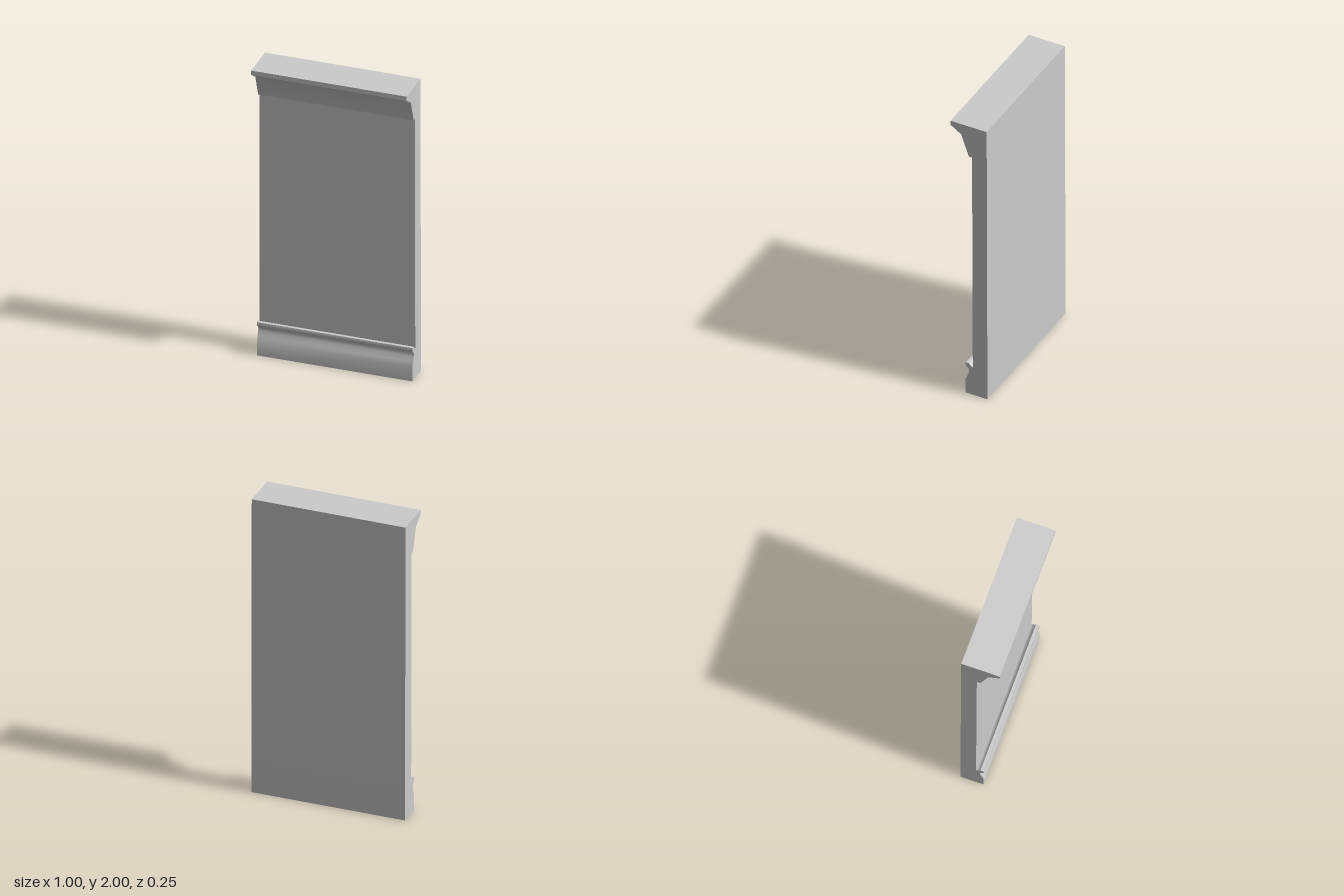
import * as THREE from 'three';
import { toCreasedNormals } from 'three/addons/utils/BufferGeometryUtils.js';

const WIDTH = 1;
const material = new THREE.MeshStandardMaterial({ color: 0xcccccc });

// Sweeps a [z, y] side profile across the full width.
function molding(name, profile) {
  const shape = new THREE.Shape(profile.map(([z, y]) => new THREE.Vector2(z, y)));
  const geometry = new THREE.ExtrudeGeometry(shape, { depth: WIDTH, bevelEnabled: false });
  geometry.translate(0, 0, -WIDTH / 2).rotateY(-Math.PI / 2);
  const mesh = new THREE.Mesh(toCreasedNormals(geometry, 0.8), material);
  mesh.name = name;
  return mesh;
}

export function createModel() {
  const group = new THREE.Group();
  group.name = 'wallSection';

  // Skirting with a curved shoulder and a small bead on top
  group.add(molding('skirting', [
    [-0.125, 0], [0.024, 0], [0.024, 0.1], [0.012, 0.13], [0.002, 0.16],
    [0, 0.175], [0.003, 0.187], [0.02, 0.2], [0.026, 0.212], [0.023, 0.227],
    [0.003, 0.227], [-0.012, 0.21], [-0.025, 0.205], [-0.125, 0.205],
  ]));

  // Flat panel, leaning very slightly forward
  group.add(molding('panel', [
    [-0.125, 0.205], [-0.025, 0.205], [-0.02, 1.775], [-0.121, 1.775],
  ]));

  // Cornice with a sloped underside and a thin top lip
  group.add(molding('cornice', [
    [-0.121, 1.775], [0.003, 1.775], [0.054, 1.922], [0.128, 1.97],
    [0.128, 2], [-0.12, 2],
  ]));

  return group;
}
